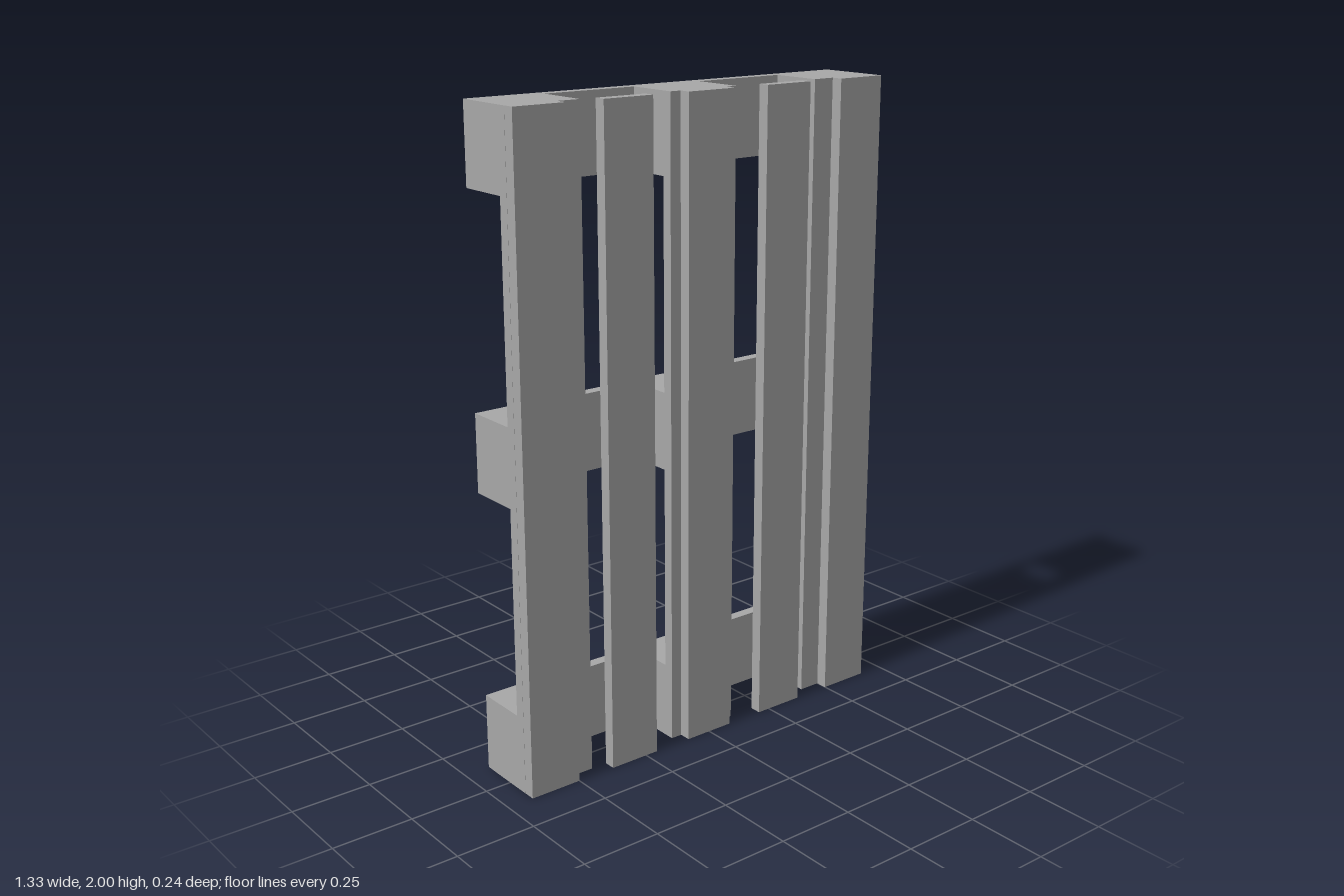
import * as THREE from 'three';

export function createModel() {
  const group = new THREE.Group();
  const grey = new THREE.MeshStandardMaterial({ color: 0xa8a8a8 });
  grey.name = 'plain grey';

  const H = 2, W = 1.333;          // overall height and width
  const beam = 0.24;               // width of stringers, blocks and back boards
  const slat = 0.167;              // width of front slats
  const columns = [-0.547, 0, 0.547];
  const rows = [0.12, 1, 1.88];

  // box centred on (x, y), spanning z0 to z1
  function board(name, x, y, w, h, z0, z1) {
    const mesh = new THREE.Mesh(new THREE.BoxGeometry(w, h, z1 - z0), grey);
    mesh.position.set(x, y, (z0 + z1) / 2);
    mesh.name = name;
    group.add(mesh);
  }

  // five upright front slats
  for (const x of [-0.583, -0.292, 0, 0.292, 0.583]) {
    board('frontSlat', x, H / 2, slat, H, 0.083, 0.12);
  }

  // wide upright stringers behind the outer and middle slats
  for (const x of columns) board('stringer', x, H / 2, beam, H, 0.05, 0.083);

  // back boards across, each carried on three blocks
  for (const y of rows) {
    board('backBoard', 0, y, W, beam, -0.12, -0.085);
    for (const x of columns) board('block', x, y, beam, beam, -0.085, 0.05);
  }

  return group;
}
